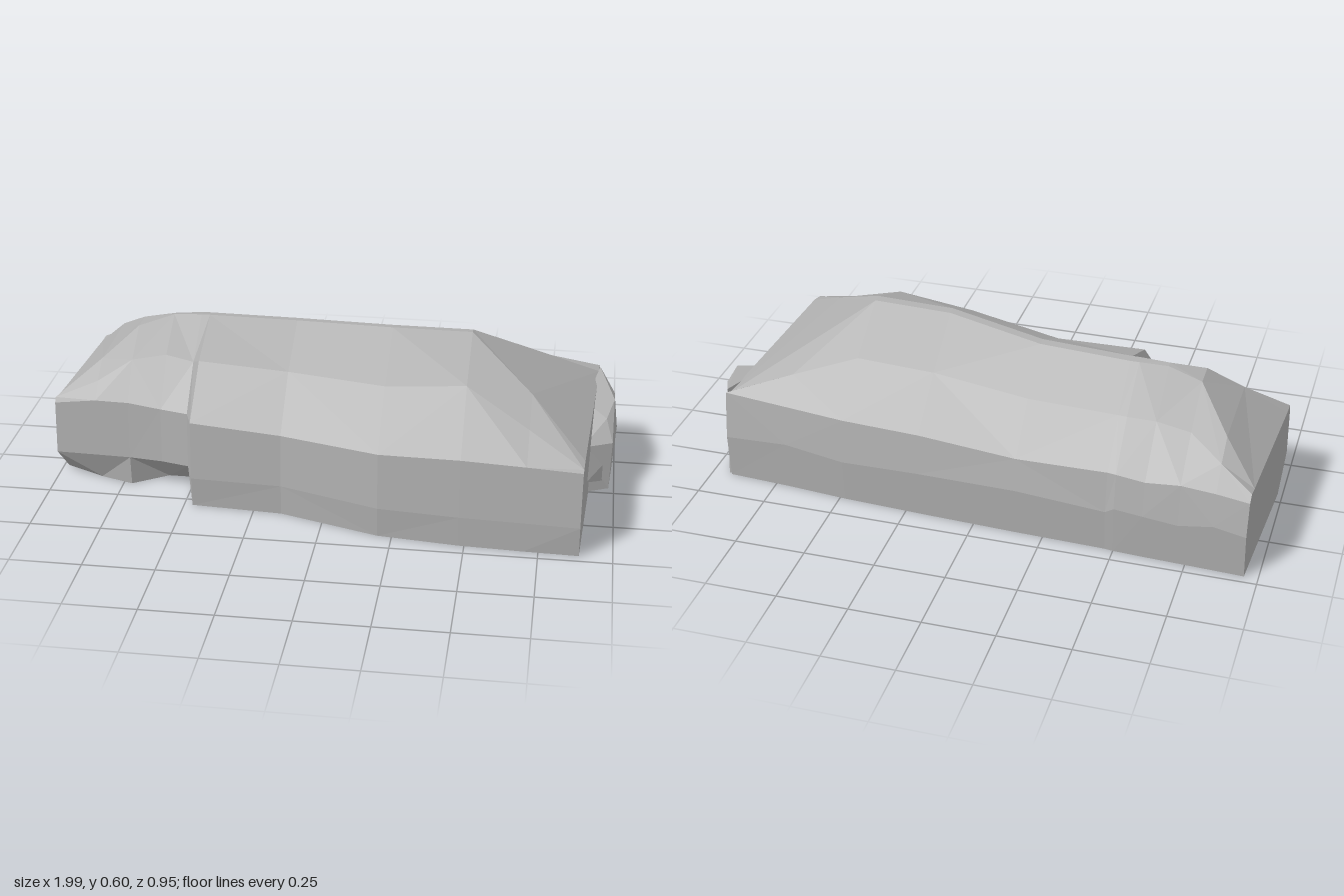
import * as THREE from 'three';
import { ConvexGeometry } from 'three/addons/geometries/ConvexGeometry.js';

// Stations along the boulder:
// x, skew of x by z, base front z, front z, front shoulder y,
// front crest z, back crest z, crest y, back z, back shoulder y
const STATIONS = [
  [-0.98, -0.06, 0.05, 0.16, 0.30, 0.10, -0.40, 0.31, -0.48, 0.29],
  [-0.84, 0, 0.12, 0.165, 0.32, 0.03, -0.30, 0.43, -0.475, 0.30],
  [-0.72, 0, 0.16, 0.17, 0.32, -0.05, -0.14, 0.53, -0.47, 0.30],
  [-0.60, 0, 0.08, 0.185, 0.31, -0.10, -0.12, 0.56, -0.465, 0.30],
  [-0.50, 0, 0.08, 0.21, 0.31, -0.10, -0.13, 0.565, -0.46, 0.30],
  [-0.47, 0, 0.29, 0.30, 0.32, -0.10, -0.13, 0.565, -0.455, 0.30],
  [-0.15, 0, 0.31, 0.315, 0.30, -0.08, -0.11, 0.57, -0.445, 0.30],
  [0.20, 0, 0.42, 0.43, 0.31, 0.0, -0.03, 0.597, -0.43, 0.31],
  [0.48, 0, 0.45, 0.455, 0.32, 0.01, -0.02, 0.60, -0.415, 0.32],
  [0.70, 0, 0.46, 0.465, 0.315, 0.20, -0.18, 0.465, -0.395, 0.33],
  [0.91, -0.05, 0.465, 0.475, 0.31, 0.40, -0.34, 0.325, -0.38, 0.33],
];

// Loop of points from the front foot, over the crest, to the back foot
function section([x, skew, base, front, frontY, crestF, crestB, crestY, back, backY], i) {
  const wobble = (k) => 0.012 * Math.sin(i * 2.3 + k * 1.9);
  const bulge = 0.1 * (crestY - frontY);
  const loop = [
    [0, base],
    [0.11, front],
    [frontY, front - 0.01],
    [(frontY + crestY) / 2 + bulge + wobble(1), (front + crestF) / 2 + 0.01],
    [crestY, crestF],
    [crestY - 0.003, crestB],
    [(crestY + backY) / 2 + 0.01, (crestB + back) / 2],
    [backY + wobble(2) * 0.6, back + 0.02],
    [0.17 + wobble(3), back],
    [0, back + 0.012],
  ];
  return loop.map(([y, z]) => new THREE.Vector3(x + skew * z, y, z));
}

function boulderGeometry() {
  const rings = STATIONS.map(section);
  const n = rings[0].length;
  const pos = [];
  const tri = (...pts) => pts.forEach((p) => pos.push(p.x, p.y, p.z));
  for (let i = 0; i < rings.length - 1; i++) {
    for (let j = 0; j < n; j++) {
      const k = (j + 1) % n;
      const a = rings[i][j], b = rings[i + 1][j], c = rings[i + 1][k], d = rings[i][k];
      // alternate the diagonals for irregular facets
      if ((i + j) % 2) { tri(a, b, c); tri(a, c, d); }
      else { tri(a, b, d); tri(b, c, d); }
    }
  }
  // end faces
  const first = rings[0], last = rings[rings.length - 1];
  for (let j = 1; j < n - 1; j++) {
    tri(first[0], first[j], first[j + 1]);
    tri(last[0], last[j + 1], last[j]);
  }
  const g = new THREE.BufferGeometry();
  g.setAttribute('position', new THREE.Float32BufferAttribute(pos, 3));
  g.computeVertexNormals();
  return g;
}

const hull = (points) => new ConvexGeometry(points.map((p) => new THREE.Vector3(...p)));

export function createModel() {
  const group = new THREE.Group();
  group.name = 'boulder';
  const stone = new THREE.MeshStandardMaterial({ color: 0xb0b0b0 });
  stone.name = 'grey stone';
  stone.flatShading = true;

  const add = (name, geometry) => {
    const mesh = new THREE.Mesh(geometry, stone);
    mesh.name = name;
    group.add(mesh);
  };

  add('boulderBody', boulderGeometry());

  // rounded lump on the end face
  add('endLump', hull([
    [0.88, 0, 0.01], [0.98, 0.02, 0.0], [0.99, 0.01, -0.18], [0.95, 0.08, -0.23],
    [0.94, 0, -0.36], [0.88, 0, -0.36],
    [0.985, 0.2, 0.0], [1.0, 0.18, -0.18], [0.96, 0.2, -0.23],
    [0.96, 0.27, -0.05], [0.985, 0.31, -0.13], [0.985, 0.295, -0.22],
    [0.93, 0.34, -0.34], [0.88, 0.31, -0.1], [0.88, 0.2, 0.05],
  ]));

  // small pointed chip beside the lump
  add('endChip', hull([
    [0.9, 0.11, 0.14], [0.965, 0.12, -0.01], [0.96, 0.05, 0.0],
    [0.89, 0.06, 0.02], [0.9, 0.19, 0.05],
  ]));

  return group;
}
